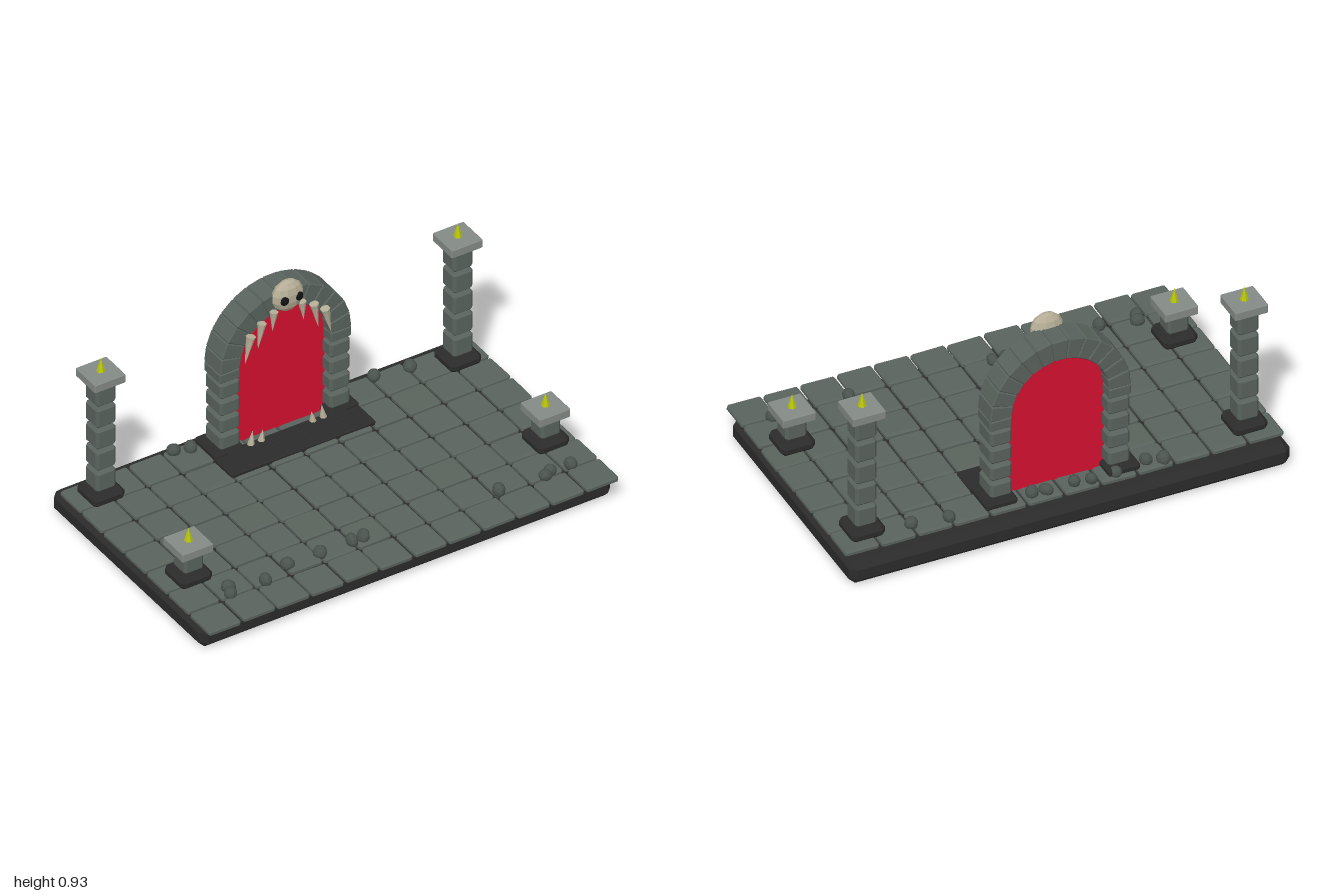
import * as THREE from 'three';
import { ConvexGeometry } from 'three/addons/geometries/ConvexGeometry.js';

const mat = (name, color, extra = {}) => {
  const m = new THREE.MeshStandardMaterial({ color, flatShading: true, ...extra });
  m.name = name;
  return m;
};

// Block with cut edges; an optional rule bends its points
function chamferBox(w, h, d, c, bend) {
  const pts = [];
  for (const sx of [-1, 1]) for (const sy of [-1, 1]) for (const sz of [-1, 1]) {
    const x = sx * w / 2, y = sy * h / 2, z = sz * d / 2;
    pts.push(new THREE.Vector3(x, y - sy * c, z - sz * c));
    pts.push(new THREE.Vector3(x - sx * c, y, z - sz * c));
    pts.push(new THREE.Vector3(x - sx * c, y - sy * c, z));
  }
  return new ConvexGeometry(bend ? pts.map(bend) : pts);
}

export function createModel() {
  const model = new THREE.Group();
  model.name = 'dungeonGate';
  const stone = mat('stone', 0x59625c);
  const dark = mat('darkStone', 0x2b2b2c);
  const pale = mat('paleStone', 0x838984);
  const rubble = mat('rubble', 0x4b534e);
  const red = mat('redPortal', 0xd3102f, { side: THREE.DoubleSide });
  const bone = mat('bone', 0xb5ad96);
  const flame = mat('flame', 0xb9c60c);
  const black = mat('black', 0x131313);

  let seed = 7;
  const rnd = () => (seed = (seed * 16807) % 2147483647) / 2147483647 - 0.5;

  const add = (parent, name, geo, material, x, y, z) => {
    const m = new THREE.Mesh(geo, material);
    m.name = name;
    m.position.set(x, y, z);
    parent.add(m);
    return m;
  };
  const group = (name) => {
    const g = new THREE.Group();
    g.name = name;
    model.add(g);
    return g;
  };

  // Ground slab
  add(model, 'baseSlab', chamferBox(2, 0.11, 1.165, 0.03), dark, 0, 0.055, -0.0275);

  // Floor tiles, 12 by 7, slightly uneven
  const floor = group('floorTiles');
  const tile = chamferBox(0.156, 0.03, 0.155, 0.009);
  for (let i = 0; i < 12; i++) for (let j = 0; j < 7; j++) {
    const t = add(floor, 'tile', tile, stone, -0.917 + i * 0.1667, 0.12 + rnd() * 0.006, 0.527 - j * 0.1655);
    t.rotation.set(rnd() * 0.03, rnd() * 0.02, rnd() * 0.03);
  }

  // Torch pillars: tall at the back, short at the front
  const foot = chamferBox(0.155, 0.06, 0.155, 0.02);
  const cap = chamferBox(0.15, 0.043, 0.15, 0.004);
  const block = chamferBox(0.096, 0.102, 0.096, 0.012);
  const fire = new THREE.ConeGeometry(0.019, 0.066, 6);
  for (const x of [-0.867, 0.867]) for (const [z, count] of [[-0.43, 5], [0.24, 1]]) {
    const p = group(count > 1 ? 'tallPillar' : 'shortPillar');
    add(p, 'pillarFoot', foot, dark, x, 0.158, z);
    for (let k = 0; k < count; k++) add(p, 'pillarBlock', block, stone, x, 0.237 + k * 0.1085, z);
    const top = count > 1 ? 0.724 : 0.279;
    add(p, 'pillarCap', cap, pale, x, top + 0.0215, z);
    add(p, 'flame', fire, flame, x, top + 0.075, z);
  }

  // Stone arch: side blocks, springers and wedge stones
  const arch = group('arch');
  const SPRING = 0.555, ZA = -0.442, DEPTH = 0.125;
  for (const s of [-1, 1]) {
    add(arch, 'archFoot', chamferBox(0.145, 0.035, 0.165, 0.01), dark, s * 0.278, 0.148, -0.45);
    for (let k = 0; k < 4; k++) {
      add(arch, 'sideBlock', chamferBox(0.1, 0.081, DEPTH, 0.013), stone, s * 0.267, 0.204 + k * 0.0865, ZA);
    }
    add(arch, 'springer', chamferBox(0.1, 0.05, DEPTH, 0.006), stone, s * 0.27, 0.532, ZA);
  }
  const N = 13;
  for (let k = 0; k < N; k++) {
    const mid = (k + 0.5) * Math.PI / N;
    const wedge = chamferBox(0.27 * Math.PI / N, 0.1, DEPTH, 0.005, (v) => {
      const a = mid - v.x / 0.27, r = 0.27 + v.y;
      return new THREE.Vector3(r * Math.cos(a), r * Math.sin(a), v.z);
    });
    add(arch, 'wedgeStone', wedge, stone, 0, SPRING, ZA);
  }

  // Threshold steps
  add(model, 'lowerStep', chamferBox(0.7, 0.025, 0.14, 0.006), dark, 0, 0.137, -0.31);
  add(model, 'upperStep', chamferBox(0.58, 0.03, 0.08, 0.006), dark, 0, 0.142, -0.35);

  // Glowing portal sheet
  const sheet = new THREE.Shape();
  sheet.moveTo(-0.225, 0.13);
  sheet.lineTo(0.225, 0.13);
  sheet.lineTo(0.225, SPRING);
  sheet.absarc(0, SPRING, 0.225, 0, Math.PI, false);
  sheet.closePath();
  add(model, 'portal', new THREE.ShapeGeometry(sheet, 16), red, 0, 0, -0.44);

  // Fangs around the opening: x, base height, length, radius, tilt
  const fangs = group('fangs');
  for (const s of [-1, 1]) {
    for (const [x, y, len, r, tilt] of [[0.185, 0.69, 0.115, 0.02, 0.22], [0.13, 0.735, 0.105, 0.019, 0.16], [0.07, 0.77, 0.075, 0.017, 0.08]]) {
      const f = new THREE.Group();
      f.name = 'upperFang';
      f.position.set(s * x, y, -0.363);
      f.rotation.z = s * tilt;
      fangs.add(f);
      add(f, 'fangRoot', new THREE.CylinderGeometry(r * 1.1, r * 0.75, 0.03, 6), bone, 0, 0.008, 0);
      add(f, 'fangTip', new THREE.ConeGeometry(r * 0.85, len, 6).rotateX(Math.PI), bone, 0, -len / 2, 0);
    }
    for (const [x, h] of [[0.172, 0.075], [0.122, 0.06]]) {
      add(fangs, 'lowerFang', new THREE.ConeGeometry(0.017, h, 6), bone, s * x, 0.15 + h / 2, -0.37).rotation.z = s * 0.12;
    }
  }

  // Skull keystone
  const skull = group('skull');
  add(skull, 'cranium', new THREE.SphereGeometry(1, 10, 7).scale(0.075, 0.075, 0.042), bone, 0, 0.852, -0.367);
  for (const s of [-1, 1]) {
    add(skull, 'eyeSocket', new THREE.SphereGeometry(1, 8, 6).scale(0.021, 0.021, 0.012), black, s * 0.034, 0.852, -0.333);
  }

  // Scattered rubble
  const rocks = group('rubble');
  const rock = new THREE.IcosahedronGeometry(0.031, 1);
  const spots = [
    [-0.775, 0.4], [-0.79, 0.44], [-0.62, 0.44], [-0.485, 0.395], [-0.33, 0.4], [-0.175, 0.4], [-0.12, 0.4],
    [0.52, 0.43], [0.735, 0.447], [0.77, 0.428], [0.865, 0.435], [-0.46, -0.515], [-0.39, -0.495],
    [-0.24, -0.52], [-0.13, -0.52], [-0.06, -0.505], [0.07, -0.51], [0.13, -0.5], [0.51, -0.51], [0.67, -0.485],
  ];
  for (const [x, z] of spots) {
    const r = add(rocks, 'rock', rock, rubble, x, 0.148, z);
    r.rotation.set(rnd() * 6, rnd() * 6, rnd() * 6);
    r.scale.set(1 + rnd() * 0.2, 0.95 + rnd() * 0.2, 0.9 + rnd() * 0.2);
  }
  return model;
}
